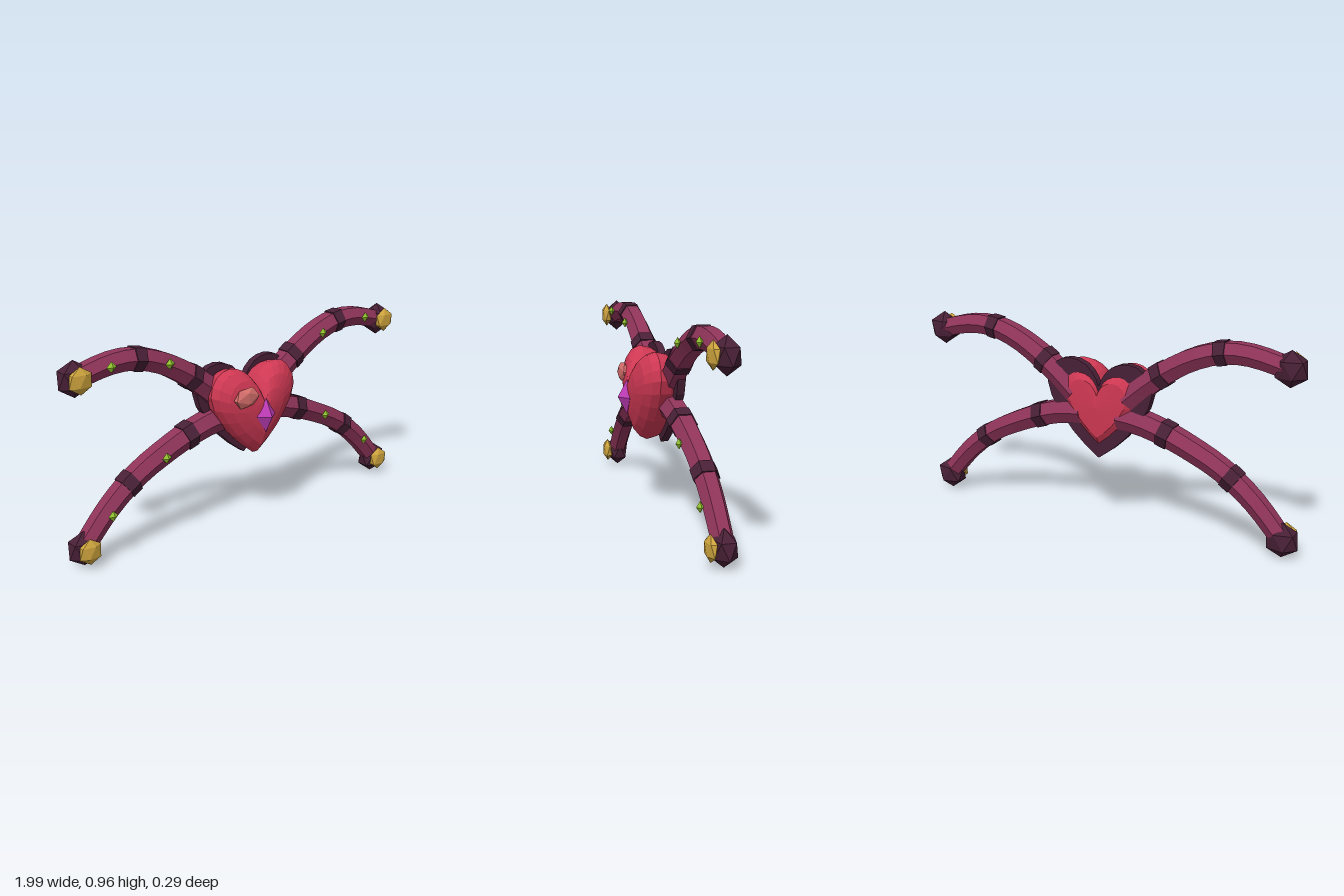
import * as THREE from 'three';

const mat = (name, color) => {
  const m = new THREE.MeshStandardMaterial({ color, flatShading: true });
  m.name = name;
  return m;
};

// Flat-shaded skin over a list of closed rings, with a fan cap at each end
function loft(rings, startTip, endTip) {
  const n = rings[0].length, pos = [];
  const tri = (...ps) => ps.forEach(p => pos.push(p.x, p.y, p.z));
  for (let i = 0; i < rings.length - 1; i++) {
    for (let j = 0; j < n; j++) {
      const k = (j + 1) % n;
      const a = rings[i][j], b = rings[i][k], c = rings[i + 1][k], d = rings[i + 1][j];
      tri(a, b, c);
      tri(a, c, d);
    }
  }
  const last = rings[rings.length - 1];
  for (let j = 0; j < n; j++) {
    const k = (j + 1) % n;
    tri(startTip, rings[0][k], rings[0][j]);
    tri(endTip, last[j], last[k]);
  }
  const g = new THREE.BufferGeometry();
  g.setAttribute('position', new THREE.Float32BufferAttribute(pos, 3));
  g.computeVertexNormals();
  return g;
}

// Heart outline around its own centre, counter-clockwise from the bottom tip
function heartOutline() {
  const half = new THREE.CatmullRomCurve3([
    [0, -0.235], [0.1, -0.155], [0.195, -0.04], [0.25, 0.07], [0.238, 0.15],
    [0.19, 0.198], [0.13, 0.21], [0.065, 0.19], [0.022, 0.145], [0, 0.095],
  ].map(([x, y]) => new THREE.Vector3(x, y, 0))).getPoints(14);
  const other = half.slice(1, -1).reverse().map(p => new THREE.Vector3(-p.x, p.y, 0));
  return [...half, ...other];
}

export function createModel() {
  const model = new THREE.Group();
  model.name = 'heartWithArms';
  const arm = mat('plum', 0x8f3459);
  const dark = mat('dark plum', 0x482036);
  const red = mat('heart red', 0xcf3853);
  const blush = mat('blush', 0xd8706c);
  const magenta = mat('magenta', 0xc03cb8);
  const gold = mat('gold', 0xcfa53e);
  const green = mat('lime', 0x93c22e);

  const add = (name, geometry, material, pos = [0, 0, 0], scale = [1, 1, 1], rotZ = 0) => {
    const m = new THREE.Mesh(geometry, material);
    m.name = name;
    m.position.set(...pos);
    m.scale.set(...scale);
    m.rotation.z = rotZ;
    model.add(m);
    return m;
  };

  // Domed heart: the outline shrinks towards the front and the back
  const CY = 0.58;
  const outline = heartOutline();
  const layers = [
    [-0.128, 0.62], [-0.105, 0.78], [-0.055, 0.94], [0, 1],
    [0.035, 0.93], [0.068, 0.76], [0.092, 0.48], [0.102, 0.22],
  ];
  const rings = layers.map(([z, s]) => outline.map(p => new THREE.Vector3(p.x * s, CY + p.y * s, z)));
  add('heart', loft(rings, new THREE.Vector3(0, CY, -0.135), new THREE.Vector3(0, CY, 0.105)), red);

  // Dark plate behind the heart
  const rim = new THREE.Shape(outline.map(p => new THREE.Vector2(p.x * 1.12, p.y * 1.07)));
  add('heartRim', new THREE.ExtrudeGeometry(rim, { depth: 0.038, bevelEnabled: false }), dark, [0, CY, -0.108]);

  // Centre gem and heart highlight
  const octa = new THREE.OctahedronGeometry(1);
  const ico = new THREE.IcosahedronGeometry(1, 0);
  add('centreGem', octa, magenta, [0, 0.56, 0.1], [0.057, 0.085, 0.045]);
  add('heartHighlight', ico, blush, [-0.112, 0.665, 0.092], [0.078, 0.053, 0.024], 0.1);

  // Six-sided tapered section of an arm between two curve parameters
  const Z = -0.072;
  const armPiece = (curve, t0, t1, steps, grow) => {
    const sections = [];
    for (let i = 0; i <= steps; i++) {
      const t = t0 + (t1 - t0) * i / steps;
      const p = curve.getPointAt(t), d = curve.getTangentAt(t);
      const r = 0.066 - 0.016 * t + grow;
      sections.push(Array.from({ length: 6 }, (_, k) => {
        const a = k * Math.PI / 3, n = Math.sin(a) * r;
        return new THREE.Vector3(p.x + d.y * n, p.y - d.x * n, p.z + Math.cos(a) * r);
      }));
    }
    return loft(sections, curve.getPointAt(t0), curve.getPointAt(t1));
  };

  const arms = [
    {
      name: 'upper',
      path: [[0.14, 0.63], [0.22, 0.7], [0.33, 0.782], [0.47, 0.862], [0.6, 0.905], [0.7, 0.913], [0.8, 0.9], [0.925, 0.868]],
      bands: [0.255, 0.63], studs: [[0.47, 0.87], [0.772, 0.908]], tip: [0.922, 0.87],
    },
    {
      name: 'lower',
      path: [[0.1, 0.54], [0.2, 0.53], [0.34, 0.492], [0.5, 0.427], [0.6, 0.378], [0.7, 0.312], [0.8, 0.225], [0.925, 0.085]],
      bands: [0.255, 0.635], studs: [[0.502, 0.43], [0.8, 0.226]], tip: [0.922, 0.0835],
    },
  ];
  const tilt = Math.atan2(0.526, 0.851);
  for (const side of [1, -1]) {
    const label = side > 0 ? 'Left' : 'Right';
    for (const { name, path, bands, studs, tip } of arms) {
      const id = name + label;
      const curve = new THREE.CatmullRomCurve3(path.map(([x, y]) => new THREE.Vector3(side * x, y, Z)));
      add(id + 'Arm', armPiece(curve, 0, 1, 14, 0), arm);
      bands.forEach(t => add(id + 'Band', armPiece(curve, t - 0.03, t + 0.03, 1, 0.006), dark));
      studs.forEach(([x, y]) => add(id + 'Stud', octa, green, [side * x, y, -0.009], [0.026, 0.026, 0.017]));
      // Knob with a gold gem set on its front
      add(id + 'Knob', ico, dark, [side * tip[0], tip[1], Z], [0.0835, 0.0835, 0.062], side * tilt);
      add(id + 'GoldGem', ico, gold, [side * tip[0], tip[1] + 0.003, -0.015], [0.062, 0.062, 0.026], side * tilt);
    }
  }
  return model;
}
